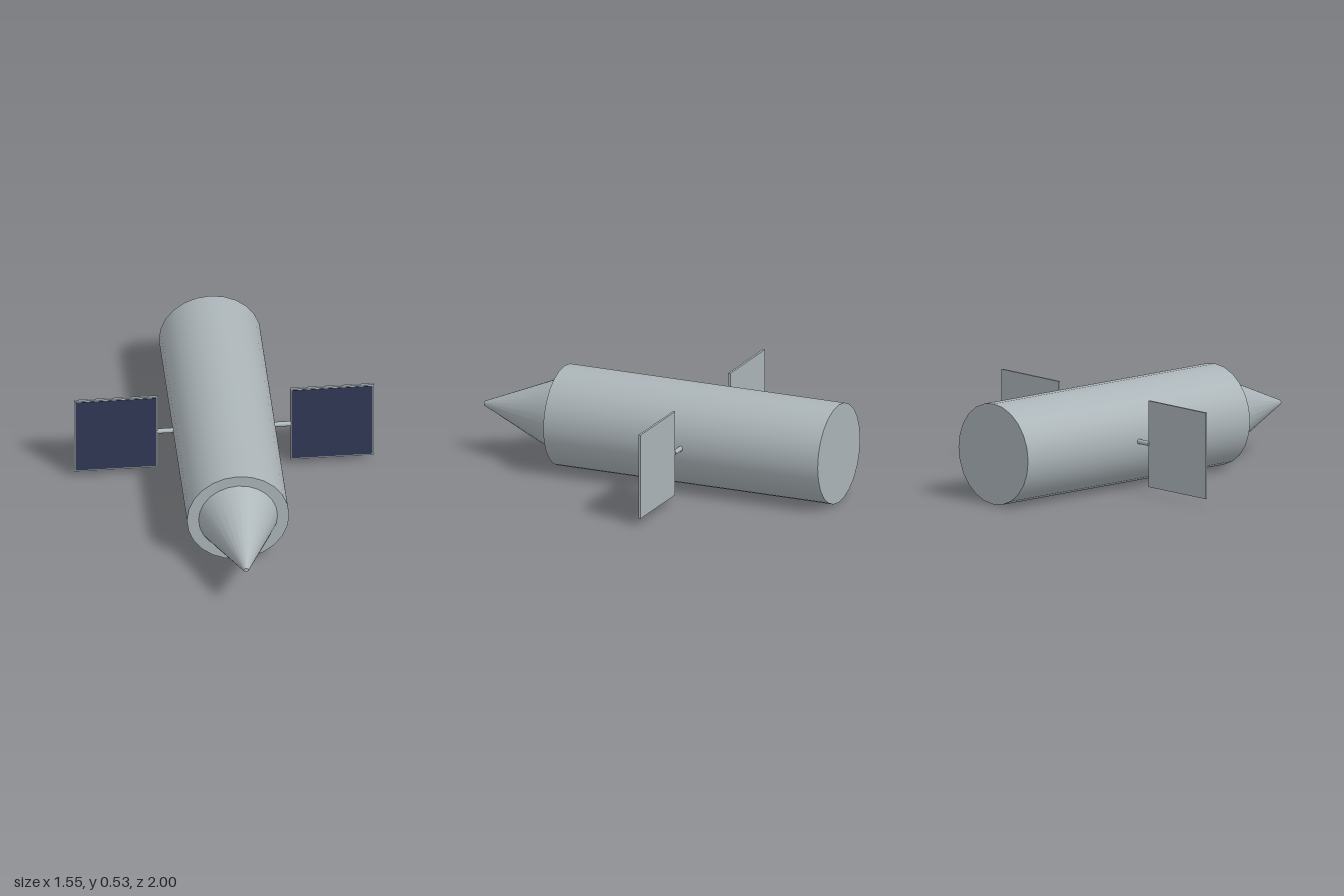
import * as THREE from 'three';

const metal = new THREE.MeshStandardMaterial({ color: 0xabb4b8 });
metal.name = 'grey metal';
const solar = new THREE.MeshStandardMaterial({ color: 0x303854 });
solar.name = 'solar blue';

const AXIS_Y = 0.265;
const PANEL_Z = -0.225;

function addMesh(parent, name, geometry, material, x, y, z) {
  const mesh = new THREE.Mesh(geometry, material);
  mesh.name = name;
  mesh.position.set(x, y, z);
  parent.add(mesh);
  return mesh;
}

// Round section lying along z, from zBack to zFront
function zCylinder(frontRadius, backRadius, zBack, zFront, sides) {
  const geometry = new THREE.CylinderGeometry(frontRadius, backRadius, zFront - zBack, sides);
  geometry.rotateX(Math.PI / 2);
  geometry.translate(0, 0, (zBack + zFront) / 2);
  return geometry;
}

export function createModel() {
  const model = new THREE.Group();
  model.name = 'spacecraft';

  // Main hull and tapered nose
  addMesh(model, 'hull', zCylinder(0.264, 0.264, -1, 0.55, 24), metal, 0, AXIS_Y, 0);
  addMesh(model, 'noseCone', zCylinder(0.012, 0.206, 0.545, 1, 24), metal, 0, AXIS_Y, 0);

  // Solar wings: strut, framed panel and blue cell sheet
  for (const side of [1, -1]) {
    const wing = new THREE.Group();
    wing.name = side > 0 ? 'leftSolarWing' : 'rightSolarWing';
    wing.position.set(0, AXIS_Y, PANEL_Z);
    model.add(wing);

    const strut = new THREE.CylinderGeometry(0.013, 0.013, 0.11, 12).rotateZ(Math.PI / 2);
    addMesh(wing, 'strut', strut, metal, side * 0.29, 0, 0);
    addMesh(wing, 'panelFrame', new THREE.BoxGeometry(0.432, 0.452, 0.012), metal, side * 0.558, 0, 0);
    addMesh(wing, 'solarCells', new THREE.BoxGeometry(0.418, 0.436, 0.004), solar, side * 0.558, 0, 0.006);
  }
  return model;
}
